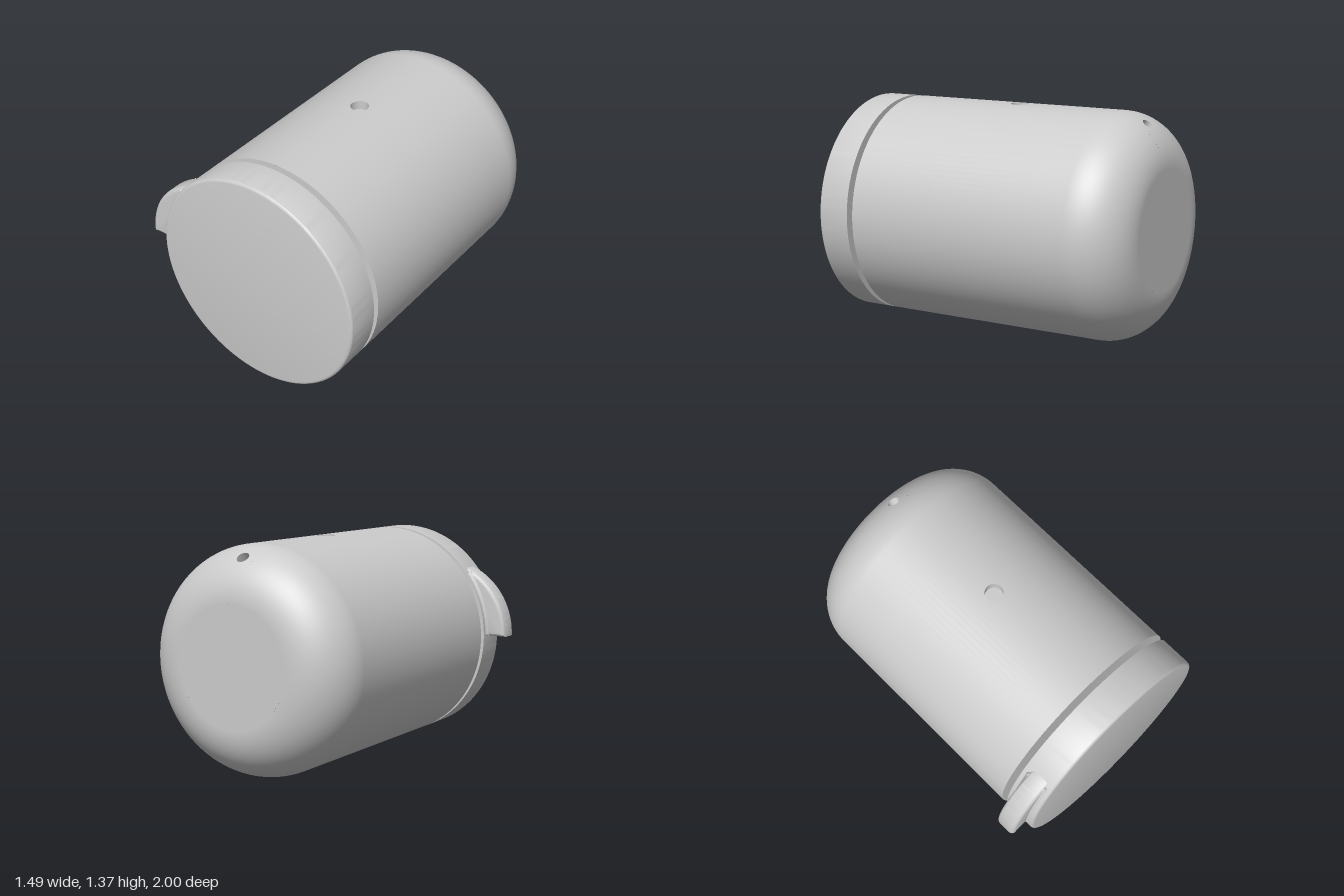
import * as THREE from 'three';
import { toCreasedNormals } from 'three/addons/utils/BufferGeometryUtils.js';
import { ParametricGeometry } from 'three/addons/geometries/ParametricGeometry.js';

const R = 0.684;            // outer radius
const ROUND = 0.32;         // rounding at the back end
const FRONT = 0.75;         // front of the body
const STRAIGHT = 1.43;      // length of the straight wall
const END = STRAIGHT + ROUND * Math.PI / 2;
const HALF = 0.13;          // half angle of the top strip that carries the holes

// Body skin: phi runs round the axis from the top, s runs along the profile to the back
function skin(phi, s, target) {
  const t = Math.max(0, s - STRAIGHT) / ROUND;
  const r = R - ROUND + ROUND * Math.cos(t);
  const z = FRONT - Math.min(s, STRAIGHT) - ROUND * Math.sin(t);
  return target.set(r * Math.sin(phi), r * Math.cos(phi), z);
}

export function createModel() {
  const model = new THREE.Group();
  model.name = 'canister';
  model.position.set(0.06, 0.685, 0);
  const root = new THREE.Group();
  root.add(model);
  const material = new THREE.MeshStandardMaterial({ color: 0xcccccc });
  const doubleSided = new THREE.MeshStandardMaterial({ color: 0xcccccc, side: THREE.DoubleSide });

  function add(parent, name, geometry, mat = material) {
    const mesh = new THREE.Mesh(geometry, mat);
    mesh.name = name;
    parent.add(mesh);
    return mesh;
  }

  // Body
  const body = new THREE.Group();
  body.name = 'body';
  model.add(body);
  const patch = (name, p0, p1, s0, s1, nu, nv) => add(body, name, new ParametricGeometry(
    (u, v, target) => skin(p0 + (p1 - p0) * u, s0 + (s1 - s0) * v, target), nu, nv));

  // A square patch of the skin with a round hole, its wall and its floor
  function hole(name, s, radius, depth, halfLength) {
    const theta = Math.max(0, s - STRAIGHT) / ROUND;
    const localRadius = R - ROUND + ROUND * Math.cos(theta);
    const normal = new THREE.Vector3(0, Math.cos(theta), -Math.sin(theta));
    const edge = (u, v, target) => {
      const c = Math.cos(-u * Math.PI * 2), q = Math.sin(-u * Math.PI * 2);
      const k = 1 / Math.max(Math.abs(c), Math.abs(q));
      return skin(c * THREE.MathUtils.lerp(radius / localRadius, HALF * k, v),
        s + q * THREE.MathUtils.lerp(radius, halfLength * k, v), target);
    };
    add(body, name + 'Surround', new ParametricGeometry(edge, 48, 8));
    add(body, name + 'Wall', new ParametricGeometry(
      (u, v, target) => edge(u, 0, target).addScaledVector(normal, -depth * v), 48, 1), doubleSided);
    const floor = add(body, name + 'Floor', new THREE.CircleGeometry(radius * 1.02, 48));
    skin(0, s, floor.position).addScaledVector(normal, -depth + 0.004);
    floor.quaternion.setFromUnitVectors(new THREE.Vector3(0, 0, 1), normal);
  }

  patch('sideWall', HALF, 2 * Math.PI - HALF, 0, STRAIGHT, 120, 1);
  patch('backRounding', HALF, 2 * Math.PI - HALF, STRAIGHT, END, 120, 24);

  const topS = FRONT + 0.02, backS = STRAIGHT + ROUND * 0.655;
  const topHalf = 0.09, backHalf = 0.08;
  patch('topStrip', -HALF, HALF, 0, topS - topHalf, 8, 1);
  hole('topHole', topS, 0.055, 0.06, topHalf);
  patch('topStrip', -HALF, HALF, topS + topHalf, STRAIGHT, 8, 1);
  patch('topStrip', -HALF, HALF, STRAIGHT, backS - backHalf, 8, 8);
  hole('backHole', backS, 0.038, 0.2, backHalf);
  patch('topStrip', -HALF, HALF, backS + backHalf, END, 8, 12);

  const frontFace = add(body, 'bodyFrontFace', new THREE.CircleGeometry(R, 128));
  frontFace.position.z = FRONT;
  const backFace = add(body, 'bodyBackFace', new THREE.CircleGeometry(R - ROUND, 128));
  backFace.rotation.y = Math.PI;
  backFace.position.z = FRONT - STRAIGHT - ROUND;

  // Neck between the body and the lid
  const neck = add(model, 'neck', new THREE.CylinderGeometry(0.195, 0.195, 0.06, 64));
  neck.rotation.x = Math.PI / 2;
  neck.position.z = 0.77;

  // Lid with a softened front edge
  const profile = [new THREE.Vector2(0, 0.79), new THREE.Vector2(R, 0.79)];
  for (let i = 0; i <= 5; i++) {
    const a = i / 5 * Math.PI / 2;
    profile.push(new THREE.Vector2(R - 0.02 + 0.02 * Math.cos(a), 0.98 + 0.02 * Math.sin(a)));
  }
  profile.push(new THREE.Vector2(0, 1));
  const lid = add(model, 'lid', toCreasedNormals(new THREE.LatheGeometry(profile, 128), 0.6));
  lid.rotation.x = Math.PI / 2;

  // Thumb tab on the side of the lid
  const tabShape = new THREE.Shape();
  tabShape.moveTo(-0.58, 0.005);
  tabShape.lineTo(-0.81, 0.005);
  tabShape.absarc(-0.355, 0.015, 0.455, Math.PI, 1.88, true);
  tabShape.lineTo(-0.44, 0.36);
  const tab = add(model, 'thumbTab', toCreasedNormals(new THREE.ExtrudeGeometry(tabShape, {
    depth: 0.08, bevelThickness: 0.025, bevelSize: 0.025, bevelOffset: -0.025,
    bevelSegments: 4, curveSegments: 32,
  }), 0.6));
  tab.position.z = 0.855;

  // Narrow flare where the tab meets the lid
  const flareShape = new THREE.Shape();
  flareShape.absarc(0, 0, 0.698, Math.PI - 0.01, 2.5, true);
  flareShape.absarc(0, 0, 0.62, 2.5, Math.PI - 0.01, false);
  const flare = add(model, 'tabFlare', toCreasedNormals(new THREE.ExtrudeGeometry(flareShape, {
    depth: 0.13, bevelThickness: 0.016, bevelSize: 0.016, bevelOffset: -0.016,
    bevelSegments: 1, curveSegments: 24,
  }), 0.6));
  flare.position.z = 0.83;

  return root;
}
